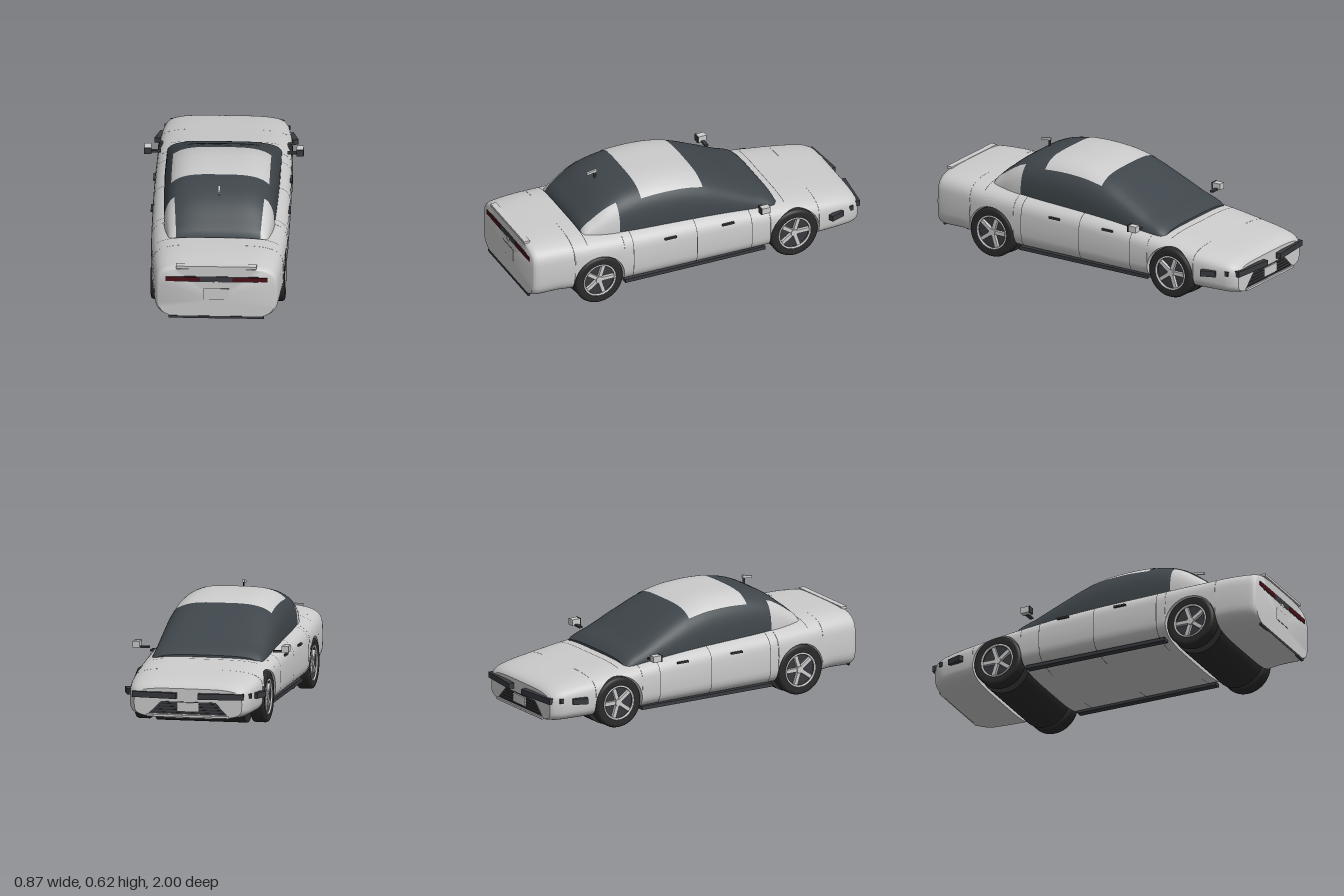
import * as THREE from 'three';
import { toCreasedNormals } from 'three/addons/utils/BufferGeometryUtils.js';

const mat = (color, side = THREE.FrontSide) => new THREE.MeshStandardMaterial({ color, side });
const paint = mat(0xcccccc), paint2 = mat(0xcccccc, THREE.DoubleSide);
const glass = mat(0x3f464b), dark = mat(0x383a3e), rubber = mat(0x2a2a2b, THREE.DoubleSide);
const seamMat = mat(0x444444, THREE.DoubleSide), red = mat(0x4a1016);

// smooth, overshoot-free curve through [z, value] points
function curve(pts) {
  const d = pts.slice(1).map((p, i) => (p[1] - pts[i][1]) / (p[0] - pts[i][0]));
  const m = pts.map((_, i) => {
    const a = d[Math.max(i - 1, 0)], b = d[Math.min(i, d.length - 1)];
    return a * b <= 0 ? 0 : 2 * a * b / (a + b);
  });
  return z => {
    let i = 0;
    while (i < pts.length - 2 && z > pts[i + 1][0]) i++;
    const h = pts[i + 1][0] - pts[i][0];
    const t = Math.min(1, Math.max(0, (z - pts[i][0]) / h)), t2 = t * t, t3 = t2 * t;
    return (2 * t3 - 3 * t2 + 1) * pts[i][1] + (t3 - 2 * t2 + t) * h * m[i]
      + (3 * t2 - 2 * t3) * pts[i + 1][1] + (t3 - t2) * h * m[i + 1];
  };
}
const range = (a, b, n) => Array.from({ length: n + 1 }, (_, i) => a + (b - a) * i / n);

// skin a list of equal-length cross-sections
function loft(rows, crease = 0.6) {
  const n = rows[0].length, index = [];
  for (let i = 0; i < rows.length - 1; i++) for (let j = 0; j < n - 1; j++) {
    const a = i * n + j, c = a + n;
    index.push(a, a + 1, c, a + 1, c + 1, c);
  }
  const g = new THREE.BufferGeometry();
  g.setAttribute('position', new THREE.Float32BufferAttribute(rows.flat(2), 3));
  g.setIndex(index);
  return toCreasedNormals(g, crease);
}

// body outline along z
const bodyW = curve([[-0.965, 0.3], [-0.95, 0.316], [-0.9, 0.338], [-0.7, 0.362], [-0.45, 0.37], [0, 0.375],
  [0.4, 0.373], [0.66, 0.364], [0.85, 0.35], [0.96, 0.337], [0.985, 0.328], [0.992, 0.318]]);
const bodyTop = curve([[-0.965, 0.24], [-0.95, 0.257], [-0.9, 0.277], [-0.7, 0.308], [-0.45, 0.342], [0, 0.383],
  [0.4, 0.396], [0.66, 0.406], [0.85, 0.413], [0.96, 0.409], [0.985, 0.402], [0.992, 0.394]]);
const bodyBase = curve([[-0.965, 0.078], [-0.9, 0.07], [0.55, 0.07], [0.72, 0.075], [0.85, 0.085], [0.96, 0.08], [0.992, 0.084]]);
const AXLES = [-0.56, 0.61], AXLE_Y = 0.146, ARCH = 0.147, N = 4.2;
const spow = (v, p) => Math.sign(v) * Math.abs(v) ** p;

function bodyPoint(z, a, lift = 0) {
  const t = bodyTop(z), b = bodyBase(z);
  return [(bodyW(z) + lift) * spow(Math.cos(a), 2 / N), (t + b) / 2 + ((t - b) / 2 + lift) * spow(Math.sin(a), 2 / N), z];
}
function bodySection(z) {
  const t = bodyTop(z), b = bodyBase(z);
  let low = b;
  for (const c of AXLES) if (Math.abs(z - c) <= ARCH) low = AXLE_Y + Math.sqrt(Math.max(0, ARCH ** 2 - (z - c) ** 2));
  const a0 = Math.asin(Math.max(-1, spow((low - (t + b) / 2) / ((t - b) / 2), N / 2)));
  const half = range(a0, Math.PI / 2, 28).map(a => bodyPoint(z, a));
  half[28][0] = 0;
  return [[0, low, z], ...half, ...half.slice(0, 28).reverse().map(p => [-p[0], p[1], z]), [0, low, z]];
}

// cabin outline along z
const cabTop = curve([[-0.487, 0.29], [-0.482, 0.35], [-0.35, 0.424], [-0.2, 0.502], [-0.05, 0.568], [0.1, 0.6],
  [0.22, 0.607], [0.32, 0.603], [0.42, 0.586], [0.5, 0.555], [0.6, 0.484], [0.67, 0.41], [0.675, 0.36]]);
const cabW = curve([[-0.487, 0.3], [-0.45, 0.315], [-0.1, 0.315], [0.3, 0.307], [0.5, 0.297], [0.675, 0.268]]);
function cabPoint(z, a, lift = 0) {
  const y0 = bodyTop(z) - 0.06;
  return [(cabW(z) + lift) * spow(Math.cos(a), 2 / 3.6), y0 + (cabTop(z) - y0 + lift) * spow(Math.sin(a), 2 / 3.6), z];
}
const cabAngle = (z, x) => Math.acos((x / cabW(z)) ** 1.8);

export function createModel() {
  const car = new THREE.Group();
  car.name = 'car';
  const add = (name, geo, m, pos = [0, 0, 0], parent = car) => {
    const mesh = new THREE.Mesh(geo, m);
    mesh.name = name;
    mesh.position.set(...pos);
    parent.add(mesh);
    return mesh;
  };
  const box = (name, size, pos, m, parent) => add(name, new THREE.BoxGeometry(...size), m, pos, parent);

  // body shell with wheel arches, closed at both ends
  const zs = [...range(-0.965, -0.9, 8), ...range(-0.88, 0.93, 40), ...range(0.95, 0.992, 8)]
    .filter(z => AXLES.every(c => Math.abs(z - c) > ARCH + 0.002));
  for (const c of AXLES) {
    zs.push(c - ARCH - 0.001, c + ARCH + 0.001);
    for (const t of range(-Math.PI / 2, Math.PI / 2, 24)) zs.push(c + ARCH * 0.9999 * Math.sin(t));
  }
  zs.sort((a, b) => a - b);
  const rows = zs.map(bodySection);
  const cap = row => row.map(p => [0, 0.2, p[2]]);
  add('body', loft([cap(rows[0]), ...rows, cap(rows[rows.length - 1])]), paint);

  // cabin glass, roof panel and rear pillars
  const cabZ = [-0.487, ...range(-0.482, 0.67, 56), 0.675];
  add('cabinGlass', loft(cabZ.map(z => range(0, Math.PI, 64).map(a => cabPoint(z, a)))), glass);
  add('roofPanel', loft(range(-0.05, 0.32, 18).map(z => {
    const a = cabAngle(z, 0.268);
    return range(a, Math.PI - a, 40).map(t => cabPoint(z, t, 0.003));
  })), paint2);
  for (const s of [1, -1]) {
    add(s > 0 ? 'leftPillar' : 'rightPillar', loft(range(0.46, 0.672, 16).map(z => {
      const a = cabAngle(z, 0.243 - 0.08 * (z - 0.46));
      return range(0, a, 20).map(t => cabPoint(z, s > 0 ? t : Math.PI - t, 0.003));
    })), paint2);
  }

  // panel gaps
  const seam = (name, z, a, b) => add(name, loft([z - 0.0018, z + 0.0018].map(
    q => range(a, b, 40).map(t => bodyPoint(q, t, 0.0012)))), seamMat);
  for (const z of [-0.3, 0.03, 0.41]) {
    seam('leftDoorGap', z, -1.3, 0.9);
    seam('rightDoorGap', z, Math.PI - 0.9, Math.PI + 1.3);
  }
  seam('bootGap', 0.672, 0.6, Math.PI - 0.6);
  seam('bonnetGap', -0.525, 0.9, Math.PI - 0.9);

  // wheels and the wheel wells between them
  const tyre = new THREE.LatheGeometry([[0.094, -0.042], [0.125, -0.0425], [0.137, -0.037], [0.141, -0.027],
    [0.141, 0.027], [0.137, 0.037], [0.125, 0.0425], [0.094, 0.038]].map(p => new THREE.Vector2(...p)), 48);
  for (const z of AXLES) {
    const well = add('wheelWell', new THREE.CylinderGeometry(0.146, 0.146, 0.5, 48), rubber, [0, AXLE_Y, z]);
    well.rotation.z = Math.PI / 2;
    for (const s of [1, -1]) {
      const wheel = new THREE.Group();
      wheel.name = (s > 0 ? 'left' : 'right') + (z < 0 ? 'Front' : 'Rear') + 'Wheel';
      wheel.position.set(s * 0.324, AXLE_Y, z);
      wheel.rotation.z = -s * Math.PI / 2;
      add('tyre', tyre, rubber, [0, 0, 0], wheel);
      add('wheelBack', new THREE.CylinderGeometry(0.096, 0.096, 0.055, 32), dark, [0, -0.012, 0], wheel);
      add('rim', new THREE.TorusGeometry(0.092, 0.006, 8, 40), paint, [0, 0.036, 0], wheel).rotation.x = Math.PI / 2;
      add('hub', new THREE.CylinderGeometry(0.02, 0.023, 0.03, 20), paint, [0, 0.022, 0], wheel);
      for (let i = 0; i < 5; i++) {
        const arm = new THREE.Group();
        arm.name = 'spokeArm';
        arm.rotation.y = i * Math.PI * 0.4 + Math.PI / 2;
        box('spoke', [0.08, 0.018, 0.021], [0.052, 0.024, 0], paint, arm);
        wheel.add(arm);
      }
      car.add(wheel);
    }
  }

  // parts mirrored on both sides
  for (const s of [1, -1]) {
    box('sill', [0.04, 0.02, 0.84], [s * 0.318, 0.082, 0.025], dark);
    box('rearDoorHandle', [0.012, 0.01, 0.07], [s * 0.376, 0.315, 0.19], dark);
    box('frontDoorHandle', [0.012, 0.01, 0.07], [s * 0.373, 0.315, -0.155], dark);
    box('mirrorArm', [0.06, 0.01, 0.02], [s * 0.375, 0.364, -0.358], dark);
    box('mirrorShell', [0.038, 0.035, 0.05], [s * 0.415, 0.379, -0.357], paint);
    box('mirrorGlass', [0.04, 0.037, 0.008], [s * 0.415, 0.379, -0.33], dark);
    box('frontLightBar', [0.25, 0.032, 0.03], [s * 0.185, 0.203, -0.974], dark).rotation.y = -s * 0.1;
    box('sideLamp', [0.03, 0.032, 0.085], [s * 0.363, 0.196, -0.81], dark).rotation.y = s * 0.35;
    box('sideMarker', [0.02, 0.025, 0.02], [s * 0.333, 0.203, -0.912], dark);
    box('tailLamp', [0.19, 0.024, 0.01], [s * 0.183, 0.329, 0.991], red);
  }

  // rear face
  box('tailStrip', [0.46, 0.034, 0.006], [0, 0.329, 0.991], dark);
  box('plateFrame', [0.14, 0.07, 0.003], [0, 0.236, 0.992], seamMat);
  box('rearPlate', [0.136, 0.066, 0.004], [0, 0.236, 0.9925], paint);
  add('rearLatch', new THREE.CylinderGeometry(0.018, 0.018, 0.014, 20, 1, false, Math.PI / 2, Math.PI),
    paint2, [0, 0.302, 0.991]).rotation.x = Math.PI / 2;
  box('rearLowerStrip', [0.52, 0.014, 0.012], [0, 0.093, 0.988], dark);
  box('spoiler', [0.44, 0.014, 0.034], [0, 0.404, 0.981], paint);

  // front grille and plate
  const mouth = new THREE.Shape([[-0.22, 0.1], [0.22, 0.1], [0.15, 0.168], [-0.15, 0.168]].map(p => new THREE.Vector2(...p)));
  add('grille', new THREE.ExtrudeGeometry(mouth, { depth: 0.01, bevelEnabled: false }), dark, [0, 0, -0.969]);
  for (let i = 0; i < 4; i++) box('grilleSlat', [0.4 - i * 0.036, 0.004, 0.006], [0, 0.108 + i * 0.016, -0.97], rubber);
  box('frontPlate', [0.12, 0.05, 0.008], [0, 0.14, -0.973], paint);
  box('frontLip', [0.46, 0.012, 0.03], [0, 0.09, -0.96], paint);

  // roof aerial
  box('aerial', [0.012, 0.014, 0.06], [0, 0.605, 0.492], paint).rotation.x = 0.2;
  box('aerialFoot', [0.006, 0.05, 0.012], [0, 0.578, 0.472], dark);
  return car;
}
